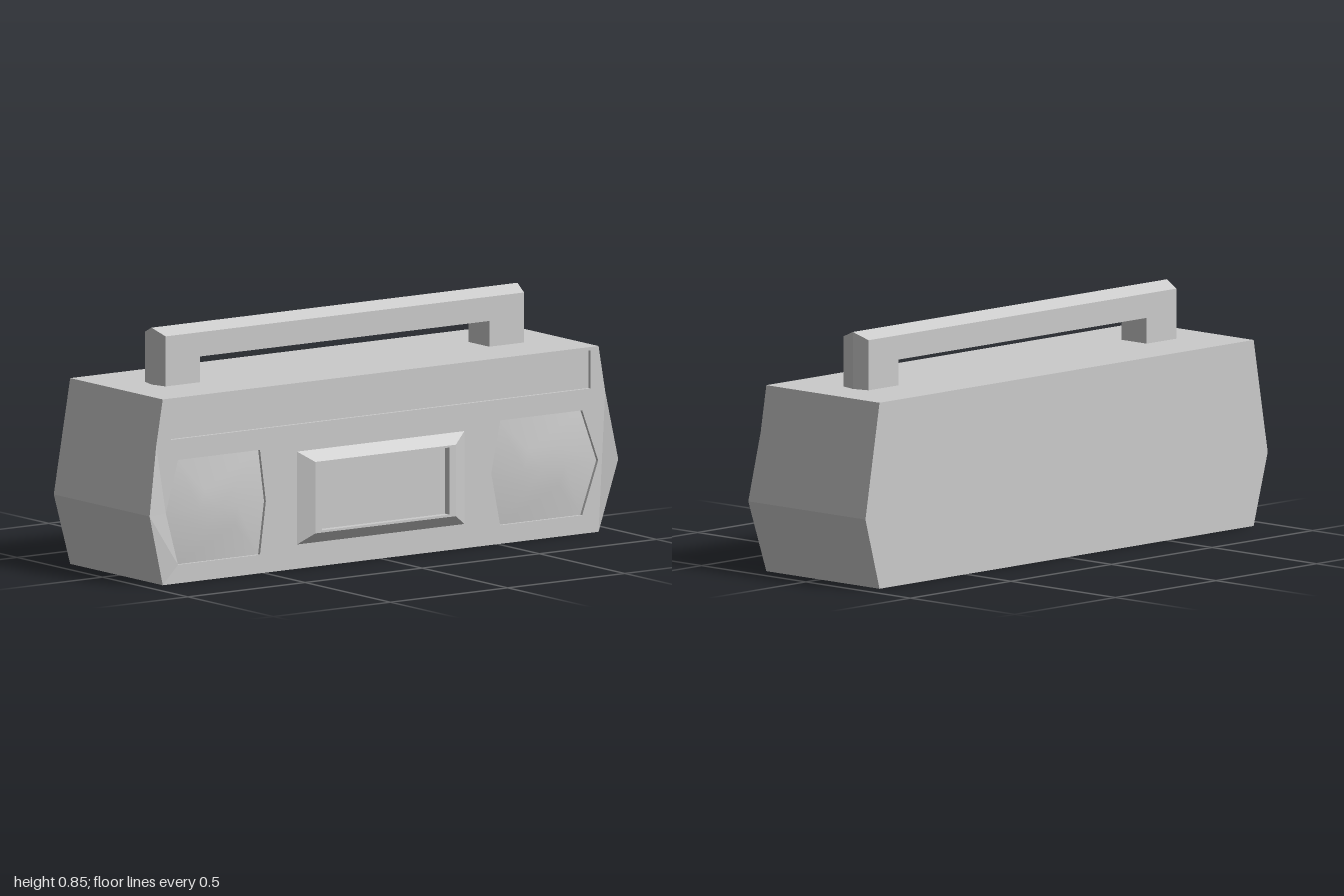
import * as THREE from 'three';
import { toCreasedNormals } from 'three/addons/utils/BufferGeometryUtils.js';

const material = new THREE.MeshStandardMaterial({ color: 0xcccccc });
const BACK = -0.285, SEAM = 0.245, FRONT = 0.257;

const vec = (pts) => pts.map(([x, y]) => new THREE.Vector2(x, y));

function addMesh(group, name, geometry) {
  const mesh = new THREE.Mesh(geometry, material);
  mesh.name = name;
  group.add(mesh);
  return mesh;
}

function extrude(shape, z0, z1, steps = 1) {
  const g = new THREE.ExtrudeGeometry(shape, { depth: z1 - z0, steps, bevelEnabled: false });
  return g.translate(0, 0, z0);
}

// Move every vertex by a rule, then refresh the flat normals
function reshape(geometry, rule) {
  const p = geometry.attributes.position, v = new THREE.Vector3();
  for (let i = 0; i < p.count; i++) {
    rule(v.fromBufferAttribute(p, i));
    p.setXYZ(i, v.x, v.y, v.z);
  }
  geometry.computeVertexNormals();
  return geometry;
}

// Skin counter-clockwise rings from the outside inwards, ending in a centre point
function skinRings(rings, centre) {
  const pos = [], n = rings[0].length;
  rings.forEach((a, r) => {
    const b = rings[r + 1];
    for (let i = 0; i < n; i++) {
      const j = (i + 1) % n;
      if (b) pos.push(...a[i], ...a[j], ...b[j], ...a[i], ...b[j], ...b[i]);
      else pos.push(...a[i], ...a[j], ...centre);
    }
  });
  const g = new THREE.BufferGeometry();
  g.setAttribute('position', new THREE.Float32BufferAttribute(pos, 3));
  g.computeVertexNormals();
  return g;
}

const rectRing = (w, y0, y1, z) => [[-w, y0, z], [w, y0, z], [w, y1, z], [-w, y1, z]];

export function createModel() {
  const model = new THREE.Group();
  model.name = 'portableStereo';

  // Case: eight-sided outline with pointed ends
  const outline = vec([
    [-0.93, 0], [0.93, 0], [1, 0.25], [0.958, 0.49], [0.93, 0.65],
    [-0.93, 0.65], [-0.958, 0.49], [-1, 0.25],
  ]);
  addMesh(model, 'caseBody', extrude(new THREE.Shape(outline), BACK, SEAM));

  // Front plate with openings for the speakers and the upper panel
  const speakerLeft = [[0.51, 0.065], [0.86, 0.065], [0.928, 0.25], [0.86, 0.432], [0.51, 0.432], [0.472, 0.25]];
  const speakerRight = [[-0.865, 0.065], [-0.515, 0.065], [-0.49, 0.25], [-0.515, 0.432], [-0.865, 0.432], [-0.917, 0.25]];
  const panel = [[-0.895, 0.505], [0.895, 0.505], [0.895, 0.638], [-0.895, 0.638]];
  const plate = new THREE.Shape(outline);
  for (const hole of [speakerLeft, speakerRight, panel]) plate.holes.push(new THREE.Path(vec(hole)));
  addMesh(model, 'frontPlate', reshape(extrude(plate, SEAM, FRONT), (v) => {
    // The side points lean forward
    if (Math.abs(v.x) > 0.99 && v.z > FRONT - 0.001) v.z = 0.276;
  }));

  // Shallow domed speakers
  const speakers = { leftSpeaker: speakerLeft, rightSpeaker: speakerRight };
  for (const [name, hex] of Object.entries(speakers)) {
    const cx = hex.reduce((s, p) => s + p[0], 0) / 6, cy = 0.25;
    const ring = (s, z) => hex.map(([x, y]) => [cx + (x - cx) * s, cy + (y - cy) * s, z]);
    const dome = skinRings([ring(1, SEAM + 0.001), ring(0.38, 0.267)], [cx, cy, 0.269]);
    addMesh(model, name, toCreasedNormals(dome, 0.7));
  }

  // Cassette door: sloped frame around a sunken window
  addMesh(model, 'cassetteDoor', skinRings([
    rectRing(0.357, 0.085, 0.41, FRONT),
    rectRing(0.3, 0.122, 0.372, 0.286),
    rectRing(0.272, 0.13, 0.365, 0.286),
    rectRing(0.272, 0.13, 0.365, 0.26),
  ], [0, 0.248, 0.26]));

  // Carrying handle with a ridge along its outer faces
  const arch = new THREE.Shape(vec([
    [-0.765, 0.65], [-0.617, 0.65], [-0.617, 0.74], [0.617, 0.74],
    [0.617, 0.65], [0.765, 0.65], [0.765, 0.825], [-0.765, 0.825],
  ]));
  addMesh(model, 'handle', reshape(extrude(arch, -0.074, 0.047, 2), (v) => {
    if (Math.abs(v.z + 0.0135) > 0.01) return;
    if (Math.abs(v.x) > 0.7) v.x = Math.sign(v.x) * 0.781;
    if (v.y > 0.8) v.y = 0.849;
  }));

  return model;
}
